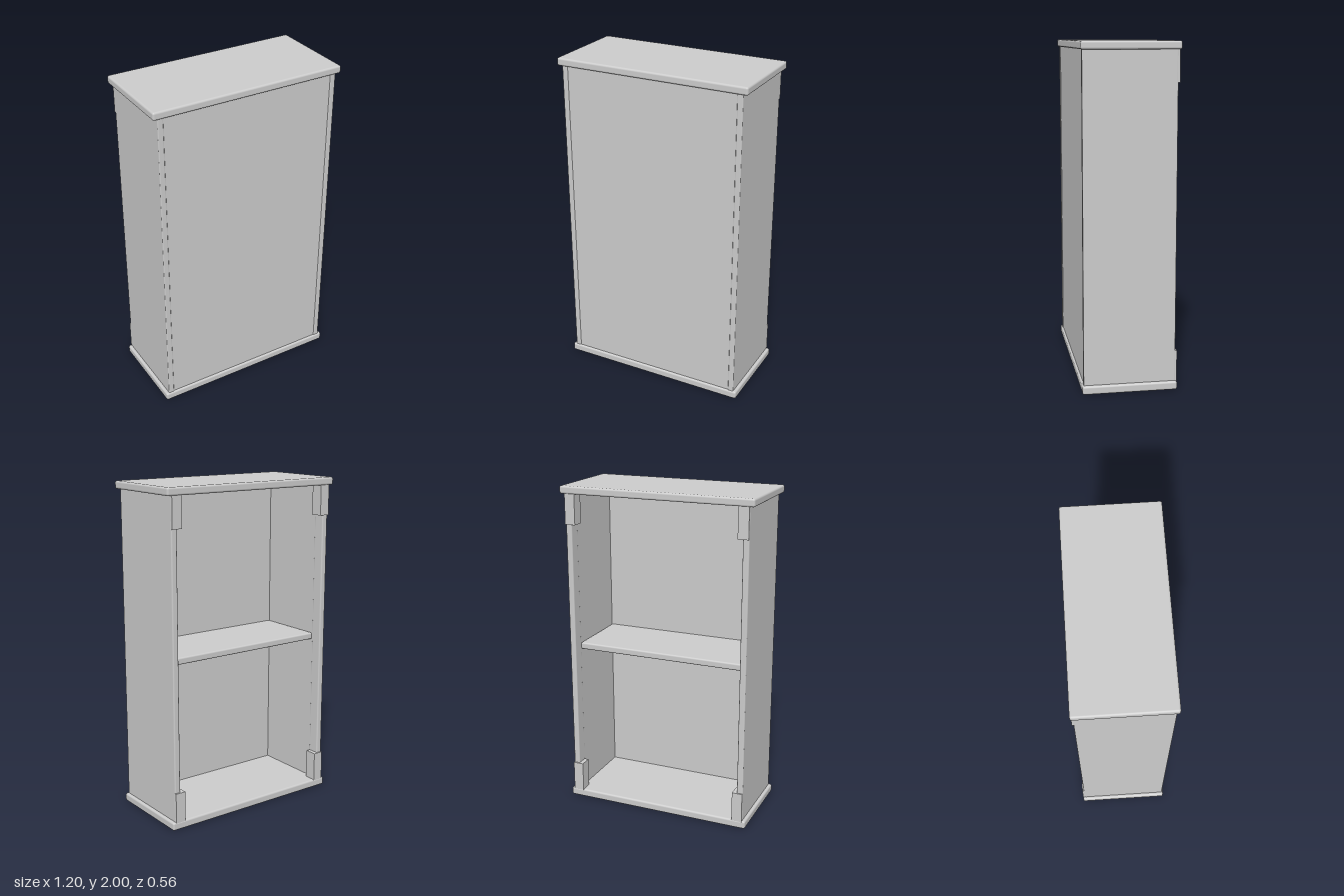
import * as THREE from 'three';
import { RoundedBoxGeometry } from 'three/addons/geometries/RoundedBoxGeometry.js';

export function createModel() {
  const cabinet = new THREE.Group();
  cabinet.name = 'cabinet';
  const material = new THREE.MeshStandardMaterial({ color: 0xcccccc });

  // Box between two corners, with softened edges when a radius is given
  function board(name, [x0, y0, z0], [x1, y1, z1], radius = 0) {
    const w = x1 - x0, h = y1 - y0, d = z1 - z0;
    const geometry = radius > 0
      ? new RoundedBoxGeometry(w, h, d, 3, radius)
      : new THREE.BoxGeometry(w, h, d);
    const mesh = new THREE.Mesh(geometry, material);
    mesh.name = name;
    mesh.position.set((x0 + x1) / 2, (y0 + y1) / 2, (z0 + z1) / 2);
    cabinet.add(mesh);
  }

  // Overhanging slabs, front panel and the single inner shelf
  board('topSlab', [-0.6, 1.953, -0.28], [0.6, 2, 0.28], 0.012);
  board('bottomSlab', [-0.59, 0, -0.275], [0.59, 0.05, 0.278], 0.012);
  board('frontPanel', [-0.535, 0.045, 0.24], [0.535, 1.957, 0.266]);
  board('shelf', [-0.536, 0.978, -0.193], [0.536, 1.02, 0.245], 0.01);

  for (const [side, s] of [['left', 1], ['right', -1]]) {
    // Same board on either side, given by its inner and outer x
    const sideBoard = (name, inner, outer, y0, y1, z0, z1, radius) =>
      board(side + name, [Math.min(s * inner, s * outer), y0, z0],
        [Math.max(s * inner, s * outer), y1, z1], radius);

    sideBoard('SidePanel', 0.535, 0.57, 0.04, 1.96, -0.23, 0.27, 0.006);
    // Rounded stile along the open rear edge
    sideBoard('RearStile', 0.532, 0.57, 0.04, 1.96, -0.266, -0.193, 0.008);
    // Corner blocks at both ends of the stile
    sideBoard('LowerBlock', 0.505, 0.569, 0.045, 0.23, -0.275, -0.2);
    sideBoard('UpperBlock', 0.505, 0.569, 1.772, 1.957, -0.275, -0.2);
  }
  return cabinet;
}
